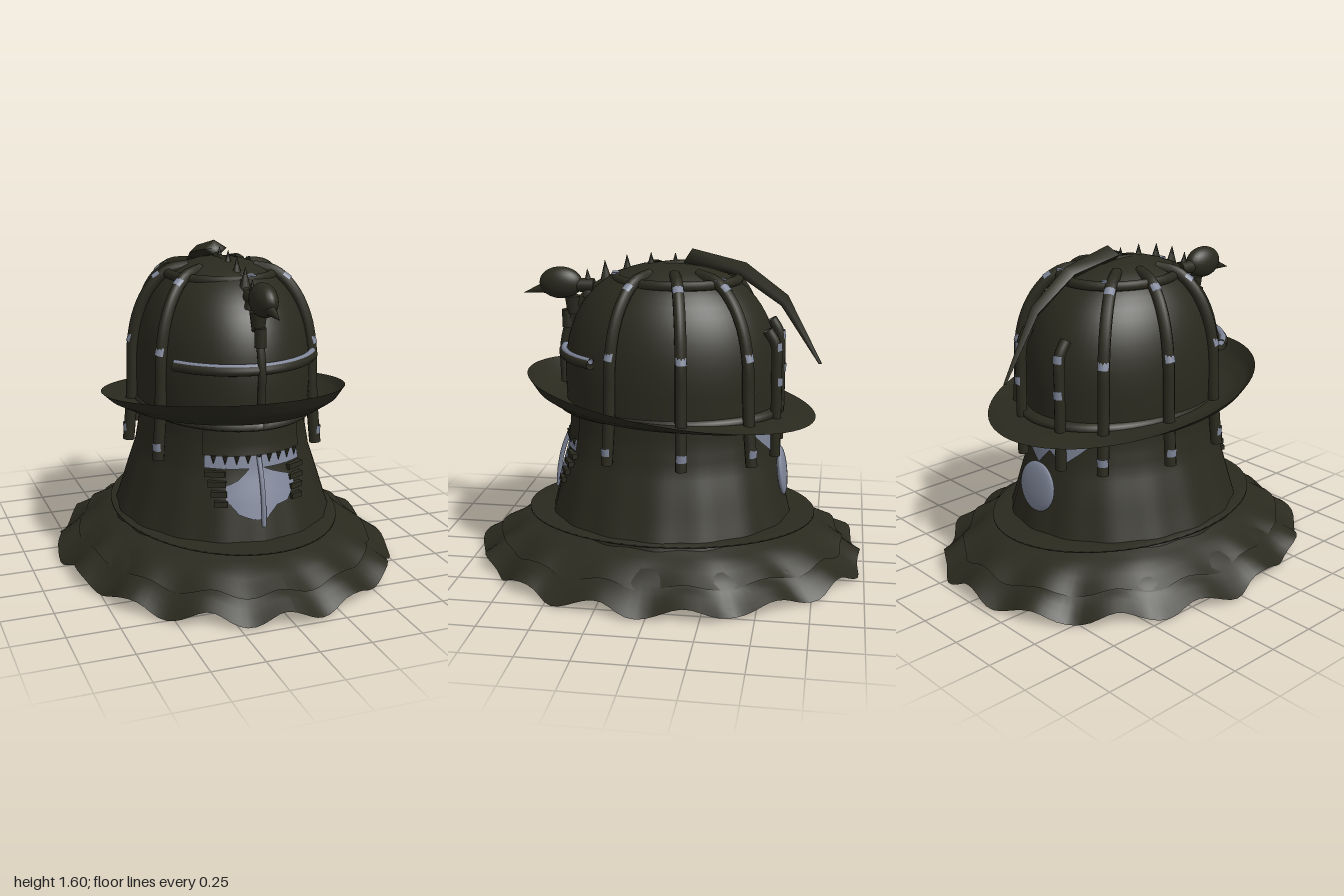
import * as THREE from 'three';

const olive = new THREE.MeshStandardMaterial({ color: 0x2b2a1f, side: THREE.DoubleSide });
olive.name = 'dark olive';
const steel = new THREE.MeshStandardMaterial({ color: 0x80879a, side: THREE.DoubleSide });
steel.name = 'blue grey';

const V = (x, y, z) => new THREE.Vector3(x, y, z);

// Surface from a rule: fn(u, v) gives a point, u runs around and v runs along
function grid(nu, nv, fn) {
  const pos = [], idx = [];
  for (let j = 0; j <= nv; j++)
    for (let i = 0; i <= nu; i++) pos.push(...fn(i / nu, j / nv).toArray());
  for (let j = 0; j < nv; j++)
    for (let i = 0; i < nu; i++) {
      const a = j * (nu + 1) + i, b = a + nu + 1;
      idx.push(a, a + 1, b + 1, a, b + 1, b);
    }
  const g = new THREE.BufferGeometry();
  g.setAttribute('position', new THREE.Float32BufferAttribute(pos, 3));
  g.setIndex(idx);
  g.computeVertexNormals();
  return g;
}

// Linear look-up in a list of rows, t from 0 to 1
function sample(rows, t) {
  const f = t * (rows.length - 1), i = Math.min(Math.floor(f), rows.length - 2);
  return rows[i].map((v, k) => v + (rows[i + 1][k] - v) * (f - i));
}

// Elliptical loft, rows are [rx, rz, y, wave]
const ripple = (a) => 0.7 * Math.sin(18 * a) + 0.45 * Math.sin(7 * a + 1) + 0.25 * Math.sin(31 * a);
function loft(rows, nu = 72, steps = 1) {
  return grid(nu, (rows.length - 1) * steps, (u, v) => {
    const a = u * Math.PI * 2, [rx, rz, y, w = 0] = sample(rows, v), k = w * ripple(a);
    return V((rx + k * 0.5) * Math.sin(a), y + w * Math.sin(14 * a + 2), (rz + k * 0.5) * Math.cos(a));
  });
}

// Flared neck guard, also used to place plates on it
const bodyRows = [[0.55, 0.62, 0.22], [0.508, 0.59, 0.34], [0.47, 0.56, 0.46], [0.43, 0.525, 0.58], [0.41, 0.505, 0.70], [0.405, 0.5, 0.82]];
function onBody(a, y, out) {
  const [rx, rz] = sample(bodyRows, (y - 0.22) / 0.6);
  return V((rx + out) * Math.sin(a), y, (rz + out) * Math.cos(a));
}
// Curved plate between two angles, edges are lists of [low, high]
const plate = (a0, a1, edges, place) => grid(48, 8, (u, v) => {
  const [lo, hi] = sample(edges, u);
  return place(a0 + (a1 - a0) * u, lo + (hi - lo) * v);
});
const onNeck = (out) => (a, y) => onBody(a, y, out);
const onRear = (a, y) => V(0.43 * Math.sin(a), y, 0.558 * Math.cos(a));

const tube = (pts, r, n = 32) => new THREE.TubeGeometry(new THREE.CatmullRomCurve3(pts), n, r, 10);

export function createModel() {
  const model = new THREE.Group();
  const add = (name, geo, mat = olive, p = [0, 0, 0]) => {
    const m = new THREE.Mesh(geo, mat);
    m.name = name;
    m.position.set(...p);
    model.add(m);
    return m;
  };

  // Wide scalloped skirt in two layers, its underside and a small inner frill
  const edge = [0.838, 0.985, 0.037, 0.031];
  add('outerSkirt', loft([[0.53, 0.6, 0.22], [0.64, 0.74, 0.172], [0.74, 0.88, 0.105, 0.012], edge], 144, 3));
  add('upperFrill', loft([[0.53, 0.6, 0.235], [0.62, 0.76, 0.19, 0.003], [0.73, 0.89, 0.118, 0.018]], 144, 3));
  add('skirtUnderside', loft([[0.43, 0.51, 0.03], [0.47, 0.56, 0.11], [0.58, 0.68, 0.16], [0.74, 0.88, 0.09, 0.012], edge], 144, 2));
  add('innerFrill', loft([[0.42, 0.5, 0.05], [0.46, 0.55, 0.04, 0.006], [0.49, 0.59, 0.03, 0.014]], 144, 2));
  add('skirtDisc', loft([[0.53, 0.6, 0.247], [0.56, 0.74, 0.247], [0.56, 0.74, 0.257], [0.53, 0.6, 0.262]]));
  const baseRing = new THREE.TorusGeometry(1, 0.05, 8, 64).rotateX(Math.PI / 2).scale(0.42, 0.4, 0.5);
  add('baseRing', baseRing, olive, [0, 0.022, 0]);
  add('baseRingStrip', tube(Array.from({ length: 13 }, (_, i) => {
    const a = 0.7 + i * 0.12;
    return V(0.412 * Math.sin(a), 0.009, 0.49 * Math.cos(a));
  }), 0.009), steel);

  // Pleated neck guard and inner liner
  add('neckGuard', grid(96, 15, (u, v) => {
    const a = u * Math.PI * 2;
    return onBody(a, 0.22 + v * 0.6, 0.005 * Math.cos(16 * a) * (1 - v));
  }));
  add('liner', loft([[0.42, 0.5, 0.02], [0.4, 0.48, 0.4], [0.36, 0.45, 0.85]]));
  add('linerPlate', plate(-0.5, 1.3, [[0.08, 0.4], [0.08, 0.55], [0.08, 0.48], [0.08, 0.58]],
    (a, y) => V((0.408 - y * 0.06) * Math.sin(a), y, (0.488 - y * 0.06) * Math.cos(a))), steel);

  // Dome and head band
  const domeRows = [[0.42, 0.53, 0.8], [0.425, 0.535, 0.95]];
  for (let i = 1; i <= 14; i++) {
    const h = Math.sin(i / 14 * Math.PI / 2);
    const r = Math.pow(Math.max(0, 1 - Math.pow(h, 2.4)), 0.43);
    domeRows.push([0.425 * r, 0.535 * r, 0.95 + 0.575 * h]);
  }
  add('dome', loft(domeRows));
  add('headBand', loft([[0.42, 0.555, 0.79], [0.435, 0.572, 0.8], [0.435, 0.572, 0.825], [0.42, 0.53, 0.835]]));

  // Upturned brim, lifted at the front
  const brimRows = [[0.4, 0.5, 0], [0.5, 0.6, 0.2], [0.565, 0.68, 0.55], [0.6, 0.73, 1]];
  const brim = (lift) => grid(72, 9, (u, v) => {
    const a = u * Math.PI * 2, [rx, rz, k] = sample(brimRows, v), z = rz * Math.cos(a);
    const inner = 0.79 + 0.02 * Math.cos(a), rim = 0.868 + 0.145 * z;
    return V(rx * Math.sin(a), inner + (rim - inner) * k + lift * (1 - v), z);
  });
  add('brimUnderside', brim(0));
  add('brimTop', brim(0.03));

  // Worn patch wrapped around the outer side of a rib
  const patchGeo = new THREE.CylinderGeometry(0.0315, 0.0315, 0.04, 8, 1, true, -1, 2);
  const patch = (x, y, z, lean) => {
    const p = add('ribPatch', patchGeo, steel, [x, y, z]);
    p.rotation.order = 'YXZ';
    p.rotation.set(-lean, Math.atan2(x, z), 0);
  };

  // Cage ribs, with a short pair at the back
  const ribProfile = [[0.34, 1.485], [0.57, 1.462], [0.75, 1.38], [0.88, 1.255], [0.945, 1.1], [0.955, 0.95], [0.975, 0.78], [1.01, 0.6]];
  for (const s of [1, -1]) {
    for (const [x, z] of [[0.455, -0.115], [0.33, -0.435], [0.41, 0.25]]) {
      add('cageRib', tube(ribProfile.map(([f, y]) => V(s * x * f, y, z * f)), 0.029));
      for (const [f, y, lean] of [[0.665, 1.426, 0.95], [0.936, 1.125, 0.3], [0.998, 0.67, -0.07]])
        patch(s * x * f, y, z * f, lean);
    }
    add('backRib', tube([V(s * 0.14, 1.23, -0.49), V(s * 0.14, 1.16, -0.53), V(s * 0.145, 1, -0.538), V(s * 0.145, 0.6, -0.538)], 0.027));
    patch(s * 0.142, 1.15, -0.531, 0.1);
    patch(s * 0.145, 0.98, -0.538, 0);
  }
  const topRing = new THREE.TorusGeometry(1, 0.095, 8, 48).rotateX(Math.PI / 2).scale(0.26, 0.26, 0.3);
  add('cageRing', topRing, olive, [0, 1.45, -0.03]);
  for (const a of [0.15, 2.4, -2.4]) {
    const x = 0.265 * Math.sin(a), z = 0.305 * Math.cos(a);
    const p = add('ringPatch', new THREE.BoxGeometry(0.07, 0.008, 0.035), steel, [x, 1.474, z - 0.03]);
    p.rotation.y = Math.atan2(x, z);
  }

  // Bar across the brow, with a pale strip on top
  const brow = (y, k) => Array.from({ length: 13 }, (_, i) => {
    const a = -0.9 + i * 0.15;
    return V((0.45 + k) * Math.sin(a), y, (0.54 + k) * Math.cos(a));
  });
  add('browBar', tube(brow(1.08, 0), 0.026));
  add('browStrip', tube(brow(1.096, 0), 0.016), steel);

  // Ridge up the front, sockets and crest spikes
  add('frontRidge', tube([V(0, 0.9, 0.55), V(0, 1.1, 0.55), V(0, 1.25, 0.505), V(0, 1.37, 0.415), V(0, 1.465, 0.24), V(0, 1.515, 0), V(0, 1.52, -0.15)], 0.02));
  add('ridgeSocket', new THREE.CylinderGeometry(0.042, 0.03, 0.09, 12), olive, [0, 1.3, 0.5]);
  add('ridgeCollar', new THREE.CylinderGeometry(0.028, 0.028, 0.09, 12), olive, [0, 1.23, 0.53]);
  for (const [z, y] of [[0.42, 1.415], [0.33, 1.46], [0.22, 1.49], [0.1, 1.505], [-0.02, 1.505]]) {
    const spike = add('crestSpike', new THREE.ConeGeometry(0.04, 0.14, 8), olive, [0, y, z]);
    spike.rotation.x = z * 0.15;
  }

  // Bird head at the front
  add('birdHead', new THREE.SphereGeometry(1, 24, 16).scale(0.06, 0.08, 0.11), olive, [0, 1.41, 0.56]);
  add('birdNeck', new THREE.CylinderGeometry(0.035, 0.035, 0.12, 12).rotateX(Math.PI / 2), olive, [0, 1.4, 0.45]);
  const beak = add('birdBeak', new THREE.ConeGeometry(0.032, 0.13, 10).rotateX(Math.PI / 2), olive, [0, 1.37, 0.69]);
  beak.rotation.x = 0.25;

  // Tapering tail, rows are [z, y, half width, half height]
  const tailRows = [[-0.08, 1.555, 0.001, 0.001], [-0.08, 1.555, 0.06, 0.04], [-0.35, 1.5, 0.045, 0.032], [-0.56, 1.35, 0.032, 0.027], [-0.74, 1.045, 0.01, 0.008], [-0.75, 1.04, 0.001, 0.001]];
  add('tail', grid(4, 5, (u, v) => {
    const [z, y, w, h] = sample(tailRows, v), a = u * Math.PI * 2;
    return V(-w * Math.cos(a), y + h * Math.sin(a), z - h * 0.6 * Math.sin(a));
  }));

  // Face mask: visor, pale mouth, teeth, cheek slats and centre bar
  add('visor', plate(-0.62, 0.6, [[0.66, 0.8], [0.66, 0.8]], onNeck(0.012)));
  add('teethBacking', plate(-0.6, 0.57, [[0.6, 0.66], [0.6, 0.66]], onNeck(0.008)), steel);
  add('mouthPlate', plate(-0.36, 0.42, [[0.46, 0.52], [0.39, 0.55], [0.365, 0.605], [0.365, 0.605], [0.42, 0.58], [0.43, 0.56], [0.5, 0.54]], onNeck(0.008)), steel);
  for (let i = -4; i <= 4; i++) {
    const tooth = add('tooth', new THREE.ConeGeometry(0.013, 0.045, 6));
    tooth.position.copy(onBody(i * 0.125, 0.64, 0.01));
    tooth.rotation.x = Math.PI;
  }
  for (const s of [1, -1])
    for (let i = 0; i < 4; i++) {
      const slat = add('cheekSlat', new THREE.BoxGeometry(0.1 - i * 0.012, 0.026, 0.03));
      const a = s * (0.48 - i * 0.025);
      slat.position.copy(onBody(a, 0.575 - i * 0.045, 0.005));
      slat.rotation.y = a;
    }
  add('centreBar', tube([V(0, 0.66, 0.52), V(0, 0.55, 0.565), V(0, 0.44, 0.59), V(0, 0.33, 0.6)], 0.012), steel);

  // Back of the neck: pale torn plate hanging below the brim and round boss
  add('backPlate', plate(Math.PI - 0.7, Math.PI + 0.7, [[0.75, 0.82], [0.68, 0.82], [0.62, 0.82], [0.68, 0.82], [0.6, 0.82], [0.68, 0.82], [0.62, 0.82], [0.68, 0.82], [0.75, 0.82]], onRear), steel);
  const boss = add('backBoss', new THREE.SphereGeometry(1, 24, 16).scale(0.125, 0.125, 0.025), steel, [0, 0.475, -0.57]);
  boss.rotation.x = 0.12;

  return model;
}
